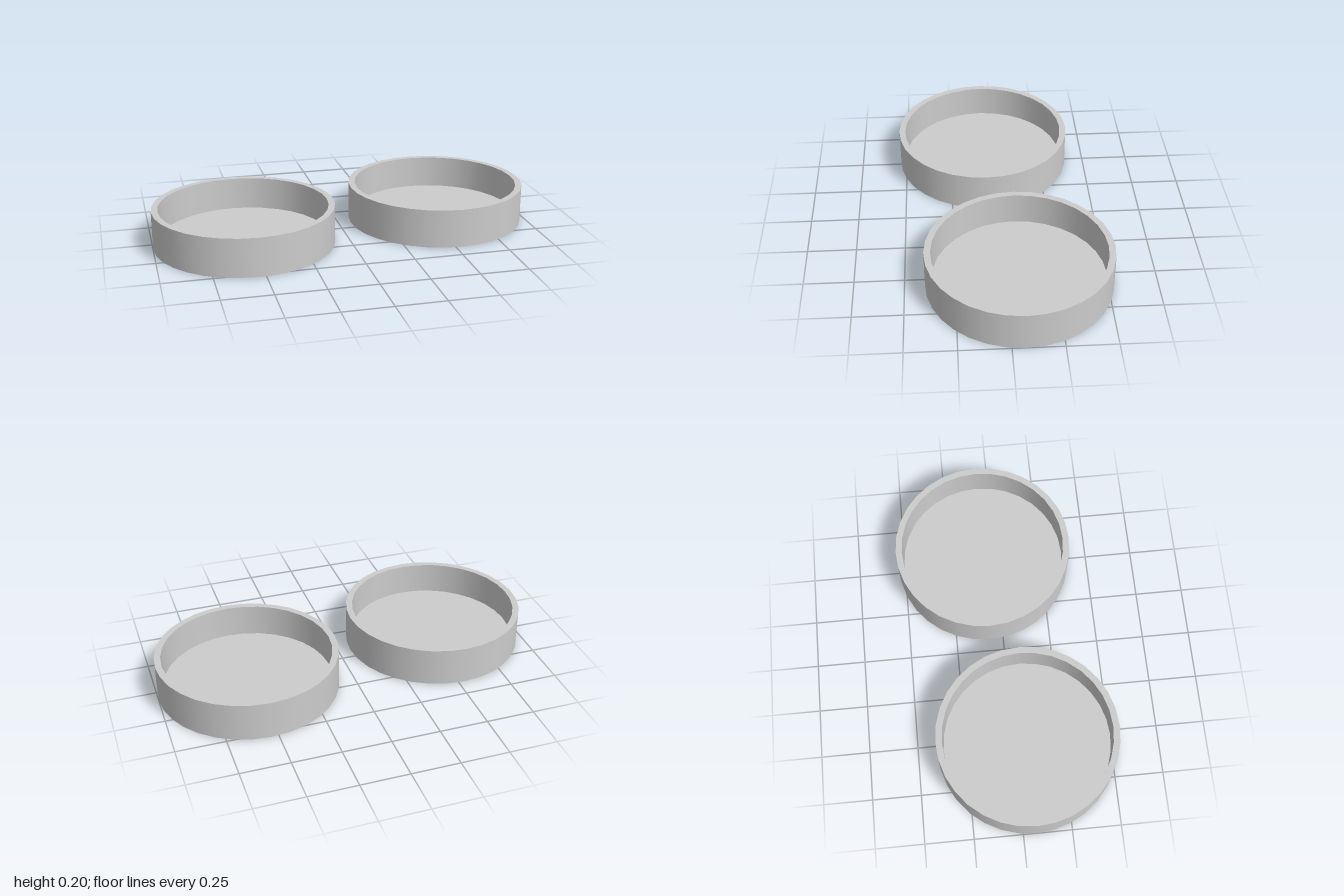
import * as THREE from 'three';
import { mergeGeometries } from 'three/addons/utils/BufferGeometryUtils.js';

const RADIUS = 0.467, INNER = 0.434, HEIGHT = 0.2, FLOOR = 0.03, SIDES = 32;

// Revolves each profile edge on its own, so round walls are smooth and rims sharp
function turned(profile) {
  const points = profile.map(([r, y]) => new THREE.Vector2(r, y));
  const bands = points.slice(1).map((p, i) => new THREE.LatheGeometry([points[i], p], SIDES));
  return mergeGeometries(bands);
}

export function createModel() {
  const model = new THREE.Group();
  model.name = 'roundTrays';
  const material = new THREE.MeshStandardMaterial({ color: 0xcccccc });

  // Underside, outer wall, rim, inner wall, floor
  const tray = turned([
    [0, 0], [RADIUS, 0], [RADIUS, HEIGHT], [INNER, HEIGHT], [INNER, FLOOR], [0, FLOOR],
  ]);

  // Two identical open trays, set diagonally
  for (const [name, side] of [['leftTray', 1], ['rightTray', -1]]) {
    const mesh = new THREE.Mesh(tray, material);
    mesh.name = name;
    mesh.position.set(0.533 * side, 0, -0.067 * side);
    model.add(mesh);
  }
  return model;
}
